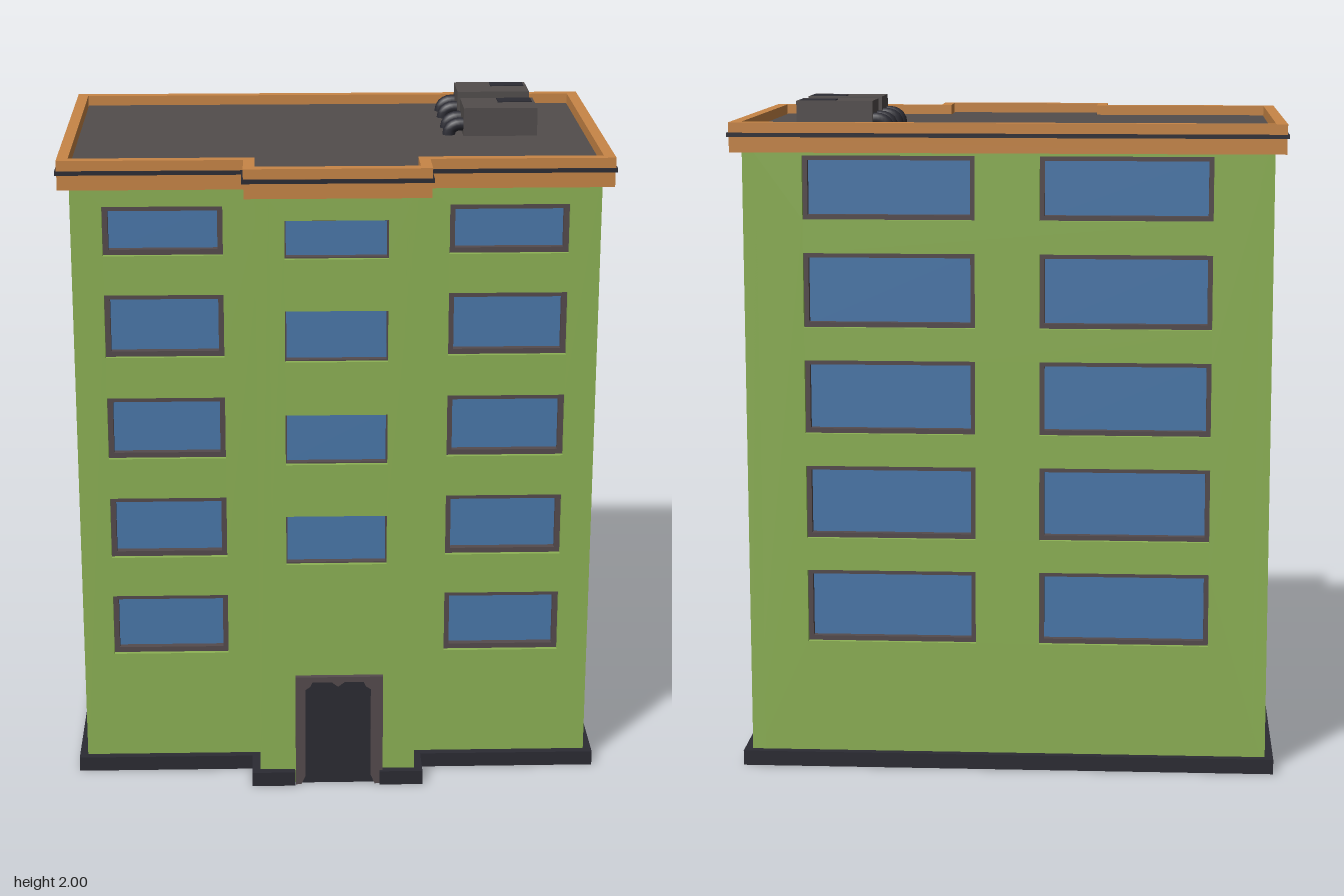
import * as THREE from 'three';

const mat = (name, color, side = THREE.FrontSide) => {
  const m = new THREE.MeshStandardMaterial({ color, side });
  m.name = name;
  return m;
};

export function createModel() {
  const green = mat('green wall', 0x8db255);
  const orange = mat('orange cornice', 0xc88646);
  const dark = mat('dark trim', 0x2b2b33);
  const grey = mat('roof grey', 0x524d4c);
  const brown = mat('frame brown', 0x554b4d);
  const blue = mat('window glass', 0x4a78ab, THREE.DoubleSide);

  const model = new THREE.Group();
  model.name = 'apartmentBlock';
  const add = (parent, name, geo, material, x = 0, y = 0, z = 0) => {
    const m = new THREE.Mesh(geo, material);
    m.name = name;
    m.position.set(x, y, z);
    parent.add(m);
    return m;
  };
  const V = (x, y) => new THREE.Vector2(x, y);
  const rect = (x0, y0, x1, y1) => [V(x0, y0), V(x1, y0), V(x1, y1), V(x0, y1)];
  const extrude = (pts, holes, depth) => {
    const s = new THREE.Shape(pts);
    s.holes = holes.map(h => new THREE.Path(h));
    return new THREE.ExtrudeGeometry(s, { depth, bevelEnabled: false });
  };

  // Footprint (x, -z) pushed outwards by o, starting and ending on the bay front
  const outline = o => [
    V(0.237 + o, -0.52 - o), V(0.237 + o, -0.4 - o), V(0.775 + o, -0.4 - o), V(0.775 + o, 0.515 + o),
    V(-0.775 - o, 0.515 + o), V(-0.775 - o, -0.4 - o), V(-0.237 - o, -0.4 - o), V(-0.237 - o, -0.52 - o)];
  const slab = (name, pts, holes, y0, y1, material) => {
    const g = extrude(pts, holes, y1 - y0);
    g.rotateX(-Math.PI / 2);
    return add(model, name, g, material, 0, y0, 0);
  };

  // Wall panel with window openings; local z = 0 is the outer face
  const T = 0.04, H = 1.9;
  const wall = (name, u0, u1, windows, edge, x, z, turn) => {
    const g = new THREE.Group();
    g.name = name;
    g.position.set(x, 0, z);
    g.rotation.y = turn;
    const openings = windows.map(w => rect(...w));
    add(g, 'wallPanel', extrude(rect(u0, 0, u1, H), openings, T), green, 0, 0, -T);
    for (const [a, b, c, d] of windows) {
      const inner = rect(a + edge, b + edge, c - edge, d - edge);
      add(g, 'windowFrame', extrude(rect(a, b, c, d), [inner], 0.027), brown, 0, 0, -T - 0.001);
      add(g, 'windowGlass', new THREE.PlaneGeometry(c - a, d - b), blue, (a + c) / 2, (b + d) / 2, -T + 0.004);
    }
    model.add(g);
  };
  const rows = (list, u0, u1) => list.map(([y0, y1]) => [u0, y0, u1, y1]);

  const frontRows = [[0.385, 0.577], [0.703, 0.895], [1.021, 1.213], [1.339, 1.531], [1.65, 1.798]];
  const bayRows = [[0.722, 0.877], [1.04, 1.195], [1.358, 1.513], [1.668, 1.783]];
  const backRows = [0, 1, 2, 3, 4].map(i => [0.385 + 0.318 * i, Math.min(0.605 + 0.318 * i, 1.845)]);
  const sideRows = [0, 1, 2, 3, 4, 5].map(i => [0.096 + 0.301 * i, 0.296 + 0.301 * i]);
  const half = Math.PI / 2;

  wall('frontWallLeft', 0.2, 0.775, rows(frontRows, 0.332, 0.683), 0.016, 0, 0.4, 0);
  wall('frontWallRight', -0.775, -0.2, rows(frontRows, -0.683, -0.332), 0.016, 0, 0.4, 0);
  wall('bayFront', -0.237, 0.237, rows(bayRows, -0.153, 0.148), 0.004, 0, 0.52, 0);
  wall('bayLeft', -0.52, -0.38, [], 0, 0.237, 0, half);
  wall('bayRight', 0.38, 0.52, [], 0, -0.237, 0, -half);
  wall('leftWall', -0.4, 0.515, rows(sideRows, -0.127, 0.242), 0.01, 0.775, 0, half);
  wall('rightWall', -0.515, 0.4, rows(sideRows, -0.242, 0.127), 0.01, -0.775, 0, -half);
  wall('backWall', -0.775, 0.775,
    [...rows(backRows, -0.6, -0.095), ...rows(backRows, 0.095, 0.6)], 0.014, 0, -0.515, Math.PI);

  // Plinth ring, open at the doorway
  const o = 0.025;
  slab('plinth', [V(0.13, -0.52 - o), ...outline(o), V(-0.13, -0.52 - o),
    V(-0.13, -0.52), ...outline(-0.005).reverse(), V(0.13, -0.52)], [], 0, 0.045, dark);

  // Roof deck and layered cornice
  slab('roofDeck', outline(-0.002), [], 1.89, 1.912, grey);
  slab('corniceLower', outline(0.032), [outline(-0.003)], 1.855, 1.9, orange);
  slab('corniceBand', outline(0.038), [outline(0.01)], 1.9, 1.912, dark);
  slab('corniceUpper', outline(0.033), [outline(0)], 1.9, 1.942, orange);

  // Entrance: surround with a shaped head, and the dark door behind it
  const doorway = [V(-0.113, 0), V(0.113, 0), V(0.1, 0.03), V(0.1, 0.318), V(0.085, 0.328), V(0.078, 0.343),
    V(0.02, 0.343), V(0, 0.328), V(-0.02, 0.343), V(-0.078, 0.343), V(-0.085, 0.328), V(-0.1, 0.318), V(-0.1, 0.03)];
  const surround = [V(-0.13, 0), ...doorway, V(0.137, 0), V(0.137, 0.36), V(-0.13, 0.36)];
  // Walk the opening from the left foot over the head to the right foot
  surround.splice(1, doorway.length, doorway[0], ...doorway.slice(2).reverse(), doorway[1]);
  add(model, 'doorSurround', extrude(surround, [], 0.02), brown, 0.002, 0, 0.516);
  add(model, 'door', new THREE.BoxGeometry(0.23, 0.35, 0.008), dark, 0.002, 0.175, 0.52);

  // Rooftop air units, each with a fan plate and two bent ducts
  for (const z of [-0.348, -0.092]) {
    const unit = new THREE.Group();
    unit.name = 'airUnit';
    unit.position.z = z;
    add(unit, 'unitBody', new THREE.BoxGeometry(0.225, 0.092, 0.158), grey, 0.513, 1.952, 0);
    add(unit, 'unitVent', new THREE.BoxGeometry(0.105, 0.006, 0.055), dark, 0.564, 1.998, -0.037);
    for (const dz of [-0.052, 0.05]) {
      const path = new THREE.CatmullRomCurve3([[0.41, 1.943], [0.38, 1.942], [0.362, 1.93], [0.356, 1.905]]
        .map(([x, y]) => new THREE.Vector3(x, y, dz)));
      add(unit, 'duct', new THREE.TubeGeometry(path, 8, 0.02, 10), dark);
    }
    model.add(unit);
  }
  return model;
}
